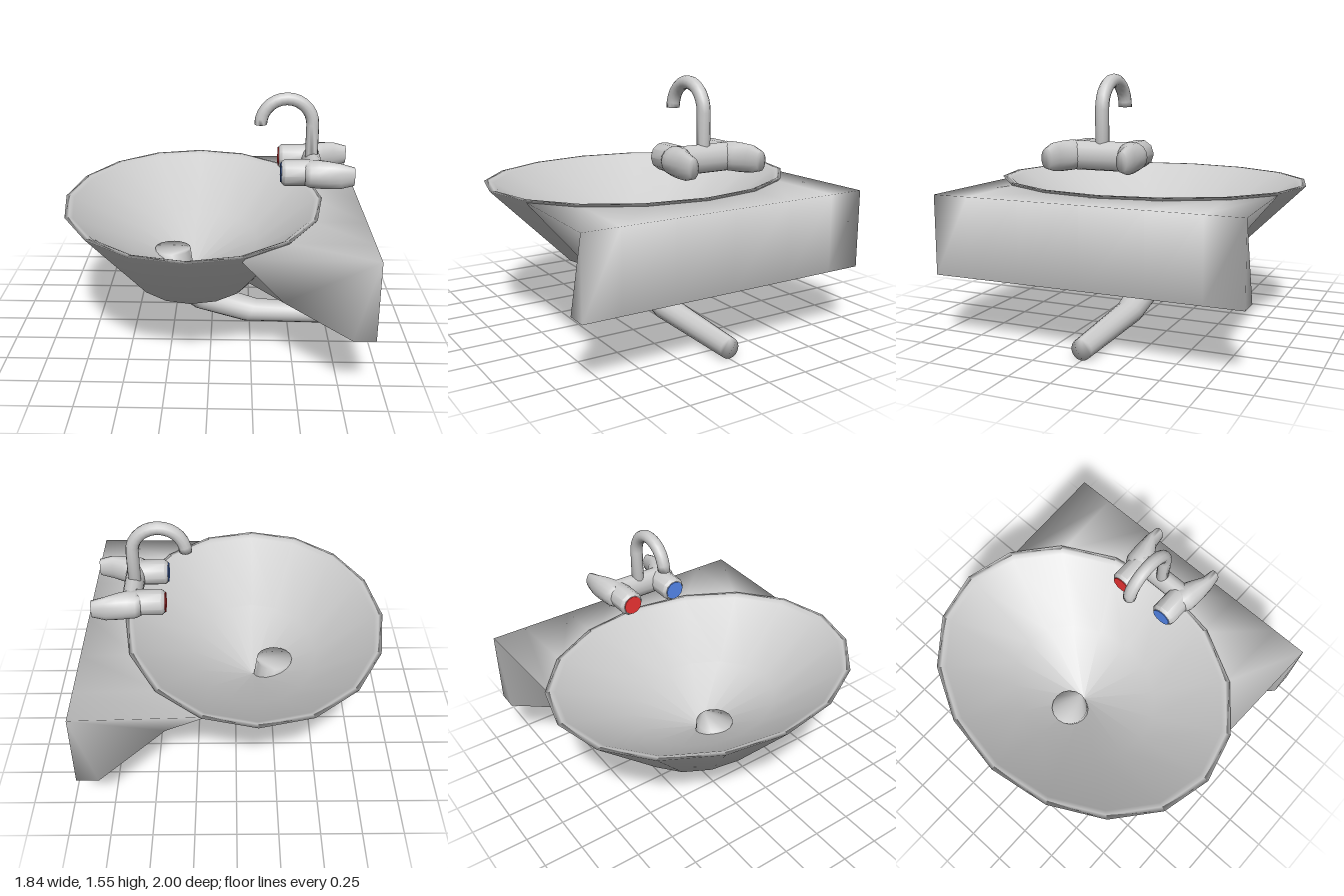
import * as THREE from 'three';
import { toCreasedNormals } from 'three/addons/utils/BufferGeometryUtils.js';

const V = (x, y, z) => new THREE.Vector3(x, y, z);
const grey = new THREE.MeshStandardMaterial({ color: 0xcccccc });

function add(parent, name, geometry, material = grey) {
  const mesh = new THREE.Mesh(geometry, material);
  mesh.name = name;
  parent.add(mesh);
}

// Smooth skin through closed rings that run counter-clockwise about the travel direction
function loft(rings, capTris) {
  const n = rings[0].length, last = (rings.length - 1) * n, index = [];
  for (let i = 0; i < rings.length - 1; i++) {
    for (let j = 0; j < n; j++) {
      const a = i * n + j, b = i * n + (j + 1) % n;
      index.push(a, b, a + n, b, b + n, a + n);
    }
  }
  const caps = capTris ?? Array.from({ length: n - 2 }, (_, j) => [0, j + 1, j + 2]);
  for (const [a, b, c] of caps) index.push(last + a, last + b, last + c, a, c, b);
  const geo = new THREE.BufferGeometry().setFromPoints(rings.flat());
  geo.setIndex(index);
  geo.computeVertexNormals();
  return geo;
}

// Elliptical ring spanned by half-axes u and v
function ring(centre, u, v, sides = 16) {
  return Array.from({ length: sides }, (_, j) => {
    const a = (j / sides) * Math.PI * 2;
    return centre.clone().addScaledVector(u, Math.cos(a)).addScaledVector(v, Math.sin(a));
  });
}

function makeBowl() {
  // Outer wall, rim and nearly conical basin in one turned profile, squashed to an oval
  const profile = [[0, 0.385], [0.49, 0.385], [1, 0.887], [0.97, 0.888], [0.94, 0.875], [0.5, 0.6], [0, 0.4]]
    .map(([r, y]) => new THREE.Vector2(r, y));
  const geo = new THREE.LatheGeometry(profile, 16);
  geo.scale(0.805, 1, 1);
  geo.translate(-0.115, 0, 0);
  return geo;
}

function makeDeck() {
  // Wall block whose inner edge follows the bowl facets and whose underside narrows inward
  const onBowl = (r, y, z) => V(-0.115 + 0.805 * Math.sqrt(r * r - z * z), y, z);
  const rings = [-1, -0.758, -0.41, 0, 0.41, 0.758, 1].map((k) => [
    onBowl(0.48, 0.4, 0.22 * k),
    V(0.43, 0.402 + 0.045 * k ** 4, 0.575 * k),
    V(0.79, 0.4, 0.925 * k),
    V(0.92, 0.4, 0.925 * k),
    V(0.92, 0.872, 0.925 * k),
    onBowl(0.965, 0.872, 0.9 * k),
    onBowl(0.85, 0.76, 0.7 * k),
  ]);
  return loft(rings, [[4, 5, 1], [5, 6, 1], [6, 0, 1], [4, 1, 2], [4, 2, 3]]);
}

function makeDrainPipe() {
  // Each row: outside-of-bend point, inside-of-bend point
  const rows = [
    [-0.367, 0.532, -0.137, 0.532], [-0.34, 0.38, -0.118, 0.38], [-0.32, 0.265, -0.115, 0.345],
    [-0.11, 0.115, 0.045, 0.245], [0.21, 0.02, 0.295, 0.165], [0.9, 0.003, 0.9, 0.127],
  ];
  return loft(rows.map(([x0, y0, x1, y1]) => {
    const u = V((x1 - x0) / 2, (y1 - y0) / 2, 0);
    return ring(V((x0 + x1) / 2, (y0 + y1) / 2, 0), u, V(0, 0, u.length()));
  }));
}

function makeTap() {
  const tap = new THREE.Group();
  tap.name = 'tap';

  // Cross bar joining the two valves
  const bar = new THREE.CylinderGeometry(0.07, 0.07, 0.36, 14);
  bar.rotateX(Math.PI / 2);
  bar.scale(0.86, 1.18, 1);
  bar.translate(0.62, 1.103, 0);
  add(tap, 'crossBar', bar);

  for (const side of [-1, 1]) {
    // Valve body tapering toward the wall: x, half height, centre z, half width
    const rows = [
      [0.56, 0.07, 0.172, 0.075], [0.59, 0.082, 0.178, 0.085], [0.64, 0.086, 0.183, 0.084],
      [0.7, 0.085, 0.2, 0.068], [0.77, 0.079, 0.222, 0.043], [0.85, 0.057, 0.223, 0.032],
    ];
    add(tap, 'valveBody', loft(rows.map(([x, h, z, w]) =>
      ring(V(x, 1.104, z * side), V(0, h, 0), V(0, 0, w)))));

    // Handle with a bevelled end and a coloured marker
    const knob = [[0, 0], [0.08, 0], [0.08, 0.15], [0.064, 0.17], [0, 0.17]].map(([r, y]) => new THREE.Vector2(r, y));
    const handle = toCreasedNormals(new THREE.LatheGeometry(knob, 10), 0.7);
    handle.rotateZ(Math.PI / 2);
    handle.translate(0.59, 1.106, 0.16 * side);
    add(tap, 'handle', handle);

    const disc = new THREE.CylinderGeometry(0.06, 0.06, 0.008, 12);
    disc.rotateZ(Math.PI / 2);
    disc.translate(0.419, 1.106, 0.16 * side);
    const color = side > 0 ? 0x5588ee : 0xee3333;
    add(tap, side > 0 ? 'coldMarker' : 'hotMarker', disc, new THREE.MeshStandardMaterial({ color }));
  }

  // Swan-neck spout: a riser followed by a half circle
  const rings = [ring(V(0.612, 1.14, 0), V(0, 0, 0.039), V(0.039, 0, 0), 12)];
  for (let i = 0; i <= 14; i++) {
    const a = (i / 14) * Math.PI;
    const out = V(Math.cos(a), Math.sin(a), 0);
    rings.push(ring(V(0.454, 1.36, 0).addScaledVector(out, 0.158), V(0, 0, 0.039), out.multiplyScalar(0.039), 12));
  }
  add(tap, 'spout', loft(rings));
  return tap;
}

export function createModel() {
  const model = new THREE.Group();
  model.name = 'washbasin';
  add(model, 'bowl', makeBowl());
  add(model, 'wallDeck', makeDeck());
  add(model, 'drainPipe', makeDrainPipe());
  model.add(makeTap());
  return model;
}
